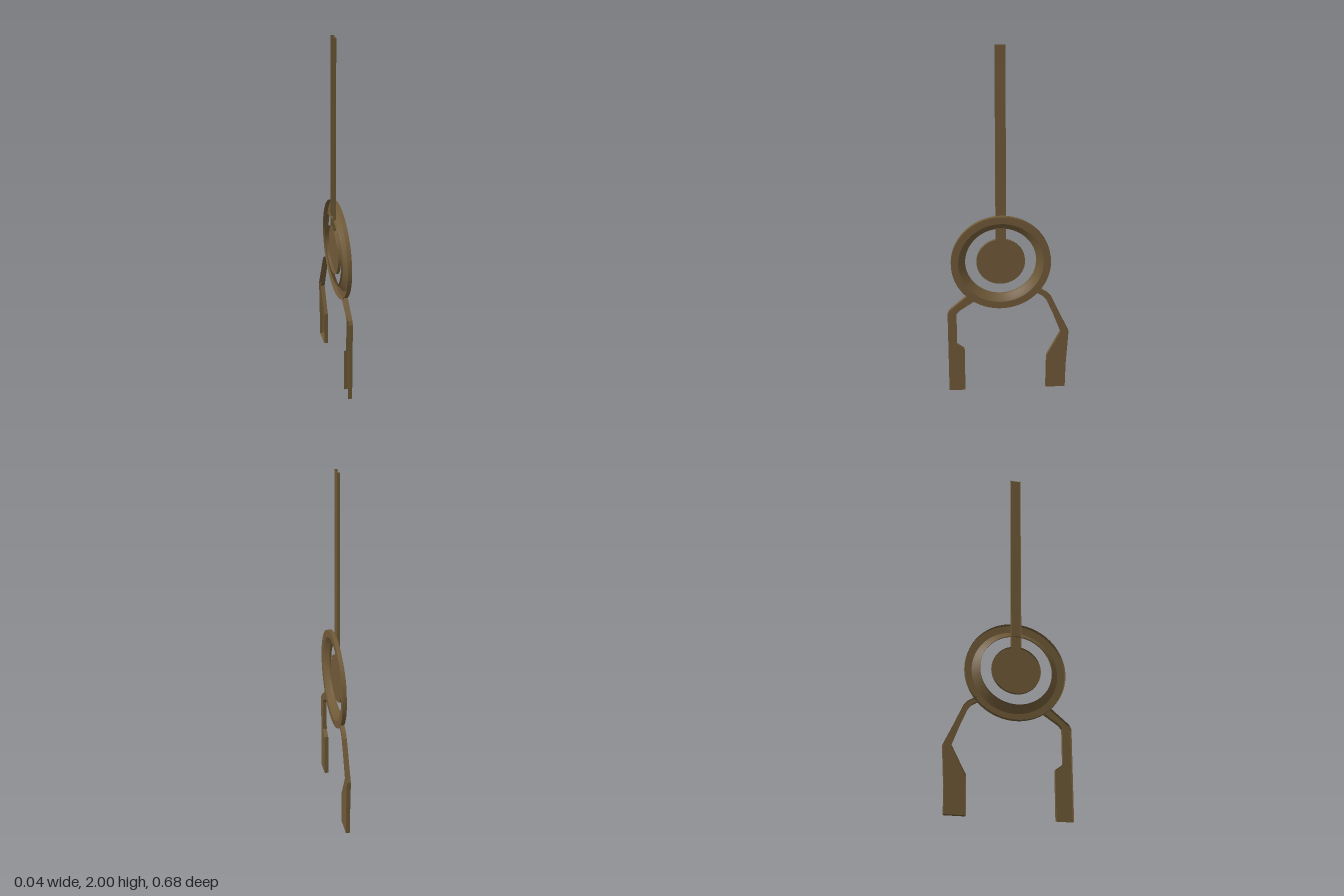
import * as THREE from 'three';

const bronze = new THREE.MeshStandardMaterial({ color: 0x705a38, side: THREE.DoubleSide });
bronze.name = 'dark bronze';

const CY = 0.797, CZ = 0.041; // centre of ring and disc

// Stamped sheet part: flat face at x = front with a skirt folded back to x = back.
// The outline holds [z, y] points; segments listed in openSides get no skirt.
function stamping(name, outline, front, back, openSides = []) {
  const group = new THREE.Group();
  group.name = name;
  const shape = new THREE.Shape(outline.map(([z, y]) => new THREE.Vector2(-z, y)));
  const face = new THREE.ShapeGeometry(shape);
  face.rotateY(Math.PI / 2);
  face.translate(front, 0, 0);

  const pos = [];
  outline.forEach(([z0, y0], i) => {
    if (openSides.includes(i)) return;
    const [z1, y1] = outline[(i + 1) % outline.length];
    const a = [front, y0, z0], b = [front, y1, z1], c = [back, y1, z1], d = [back, y0, z0];
    pos.push(...a, ...d, ...c, ...a, ...c, ...b);
  });
  const skirt = new THREE.BufferGeometry();
  skirt.setAttribute('position', new THREE.Float32BufferAttribute(pos, 3));
  skirt.computeVertexNormals();

  [[face, 'Face'], [skirt, 'Skirt']].forEach(([geometry, suffix]) => {
    const mesh = new THREE.Mesh(geometry, bronze);
    mesh.name = name + suffix;
    group.add(mesh);
  });
  return group;
}

// Surface of revolution around the x axis through the ring centre, from [radius, x] points
function revolved(name, profile) {
  const geometry = new THREE.LatheGeometry(profile.map(([r, x]) => new THREE.Vector2(r, x)), 80);
  geometry.rotateZ(-Math.PI / 2);
  geometry.translate(0, CY, CZ);
  const mesh = new THREE.Mesh(geometry, bronze);
  mesh.name = name;
  return mesh;
}

export function createModel() {
  const model = new THREE.Group();
  model.name = 'pendulumHand';

  // Ring: outer rim, flat flange, dished inner wall and rear collar
  const ring = new THREE.Group();
  ring.name = 'ring';
  ring.add(
    revolved('ringRim', [[0.275, -0.003], [0.275, 0.02]]),
    revolved('ringFlange', [[0.275, 0.02], [0.235, 0.02]]),
    revolved('ringDish', [[0.235, 0.02], [0.22, 0.011], [0.206, -0.002], [0.199, -0.006], [0.196, -0.01]]),
    revolved('ringCollar', [[0.196, -0.01], [0.196, -0.02]])
  );
  model.add(ring);

  // Long rod running into the centre disc, one continuous outline open at the top
  const radius = 0.134, half = 0.028, steps = 72;
  const gap = Math.asin(half / radius);
  const rod = [[CZ - half, 2], [CZ + half, 2]];
  for (let i = 0; i <= steps; i++) {
    const t = gap + (i / steps) * (2 * Math.PI - 2 * gap);
    rod.push([CZ + radius * Math.sin(t), CY + radius * Math.cos(t)]);
  }
  model.add(stamping('rodAndDisc', rod, -0.004, -0.02, [0]));

  // Front leg, open at the foot and where it meets the ring
  model.add(stamping('frontLeg', [
    [0.249, 0], [0.249, 0.265], [0.291, 0.297], [0.291, 0.492], [0.275, 0.513],
    [0.193, 0.568], [0.231, 0.6], [0.308, 0.534], [0.33, 0.515], [0.341, 0.492], [0.341, 0],
  ], 0.02, -0.003, [5, 10]));

  // Rear leg, curved and widening to a closed foot
  model.add(stamping('rearLeg', [
    [-0.215, 0], [-0.217, 0.206], [-0.295, 0.36], [-0.249, 0.48], [-0.212, 0.566], [-0.192, 0.59],
    [-0.155, 0.612], [-0.168, 0.637], [-0.215, 0.607], [-0.238, 0.582], [-0.286, 0.476],
    [-0.334, 0.375], [-0.341, 0.36], [-0.329, 0.148], [-0.327, 0],
  ], 0.02, -0.003, [6]));

  return model;
}
